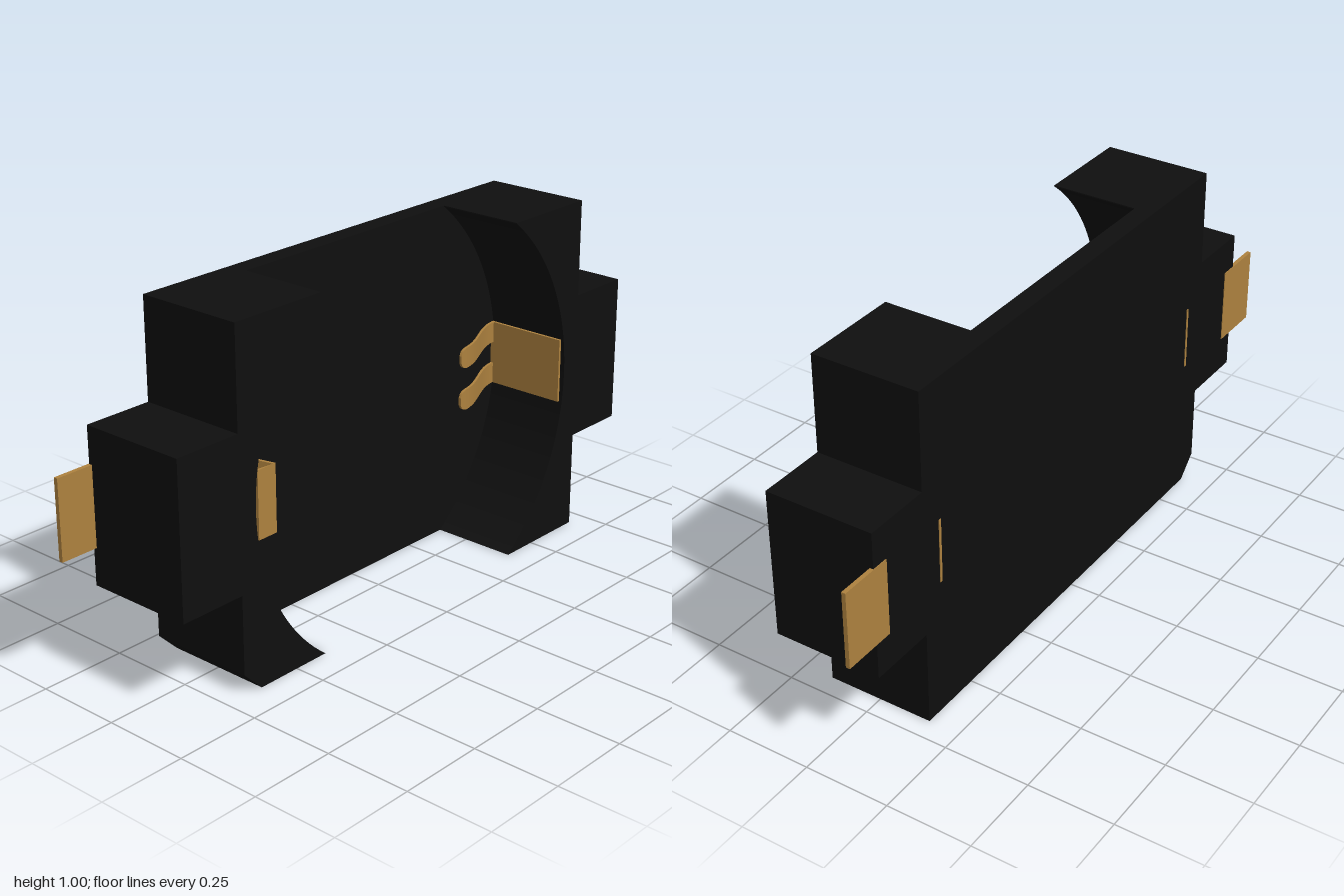
import * as THREE from 'three';

const plastic = new THREE.MeshStandardMaterial({ name: 'black plastic', color: 0x0f0f0f });
const metal = new THREE.MeshStandardMaterial({ name: 'brass contact', color: 0xae823f });

const MID = 0.5;      // height of the cell centre
const R = 0.635;      // radius of the cell recess
const BACK = -0.158, FLOOR = -0.1, FRONT = 0.158;

function part(name, geometry, material) {
  const mesh = new THREE.Mesh(geometry, material);
  mesh.name = name;
  return mesh;
}

// Extrude an outline in x/y between two depths
function slab(shape, z0, z1) {
  const g = new THREE.ExtrudeGeometry(shape, { depth: z1 - z0, bevelEnabled: false, curveSegments: 40 });
  return g.translate(0, 0, z0);
}

// Outer edge of one end block, from bottom to top; the -x end has a keyed corner
function endOutline(side) {
  const corner = side < 0 ? [[0.63, 0], [0.69, 0.06]] : [[0.69, 0]];
  return [...corner, [0.69, 0.285], [0.89, 0.285], [0.89, 0.72], [0.69, 0.72], [0.69, 1.003]]
    .map(([x, y]) => new THREE.Vector2(side * x, y));
}

// End block with the round recess cut from its inner side
function endWall(side) {
  const a = Math.asin(MID / R);
  const shape = new THREE.Shape();
  shape.moveTo(side * R * Math.cos(a), 0);
  endOutline(side).forEach(p => shape.lineTo(p.x, p.y));
  shape.lineTo(side * R * Math.cos(a), 1.003);
  if (side > 0) shape.absarc(0, MID, R, a, -a, true);
  else shape.absarc(0, MID, R, Math.PI - a, Math.PI + a, false);
  return slab(shape, FLOOR, FRONT);
}

// Bent metal strip: an x/z path given thickness and extruded up y
function strip(path, thickness, y0, y1) {
  const pts = path.map(p => new THREE.Vector2(...p));
  const offset = pts.map((p, i) => {
    const d = pts[Math.min(i + 1, pts.length - 1)].clone().sub(pts[Math.max(i - 1, 0)]).normalize();
    return new THREE.Vector2(p.x - d.y * thickness, p.y + d.x * thickness);
  });
  const g = new THREE.ExtrudeGeometry(new THREE.Shape([...pts, ...offset.reverse()]),
    { depth: y1 - y0, bevelEnabled: false });
  return g.rotateX(Math.PI / 2).translate(0, y1, 0);
}

// Spring finger: a bar that curves up off the floor to a rounded tip
function finger() {
  const length = 0.255, width = 0.062, tip = 0.03;
  const g = new THREE.BoxGeometry(length, width, 0.008, 48, 1, 1);
  const p = g.attributes.position;
  for (let i = 0; i < p.count; i++) {
    const t = length / 2 - p.getX(i);                 // distance from the root
    const toTip = Math.min(1, (length - t) / tip);
    const squeeze = 0.35 + 0.65 * Math.sqrt(Math.max(0, 1 - (1 - toTip) ** 2));
    const rise = 0.08 * THREE.MathUtils.smoothstep(t, 0, length * 0.95);
    p.setXYZ(i, p.getX(i), p.getY(i) * squeeze, p.getZ(i) + FLOOR + 0.005 + rise);
  }
  g.computeVertexNormals();
  return g.translate(0.37 + length / 2, 0, 0);
}

export function createModel() {
  const model = new THREE.Group();
  model.name = 'coin cell holder';

  // Plastic body
  const base = new THREE.Shape([...endOutline(1), ...endOutline(-1).reverse()]);
  model.add(part('basePlate', slab(base, BACK, FLOOR), plastic));
  model.add(part('leftEndWall', endWall(1), plastic));
  model.add(part('rightEndWall', endWall(-1), plastic));

  // Solder tabs, flush with the back
  for (const side of [1, -1]) {
    const tab = part(side > 0 ? 'leftSolderTab' : 'rightSolderTab',
      new THREE.BoxGeometry(0.16, 0.225, 0.012), metal);
    tab.position.set(side * 0.92, 0.504, -0.154);
    model.add(tab);
  }

  // Side contact with a folded lip
  model.add(part('sideContact',
    strip([[-0.612, -0.16], [-0.612, -0.09], [-0.557, 0.152], [-0.62, 0.152]], 0.008, 0.41, 0.6), metal));

  // Upright plate and spring fingers at the other end
  model.add(part('fingerPlate',
    strip([[0.626, -0.16], [0.626, 0.15]], 0.008, 0.41, 0.6), metal));
  for (const y of [0.441, 0.569]) {
    const f = part('springFinger', finger(), metal);
    f.position.y = y;
    model.add(f);
  }
  return model;
}
